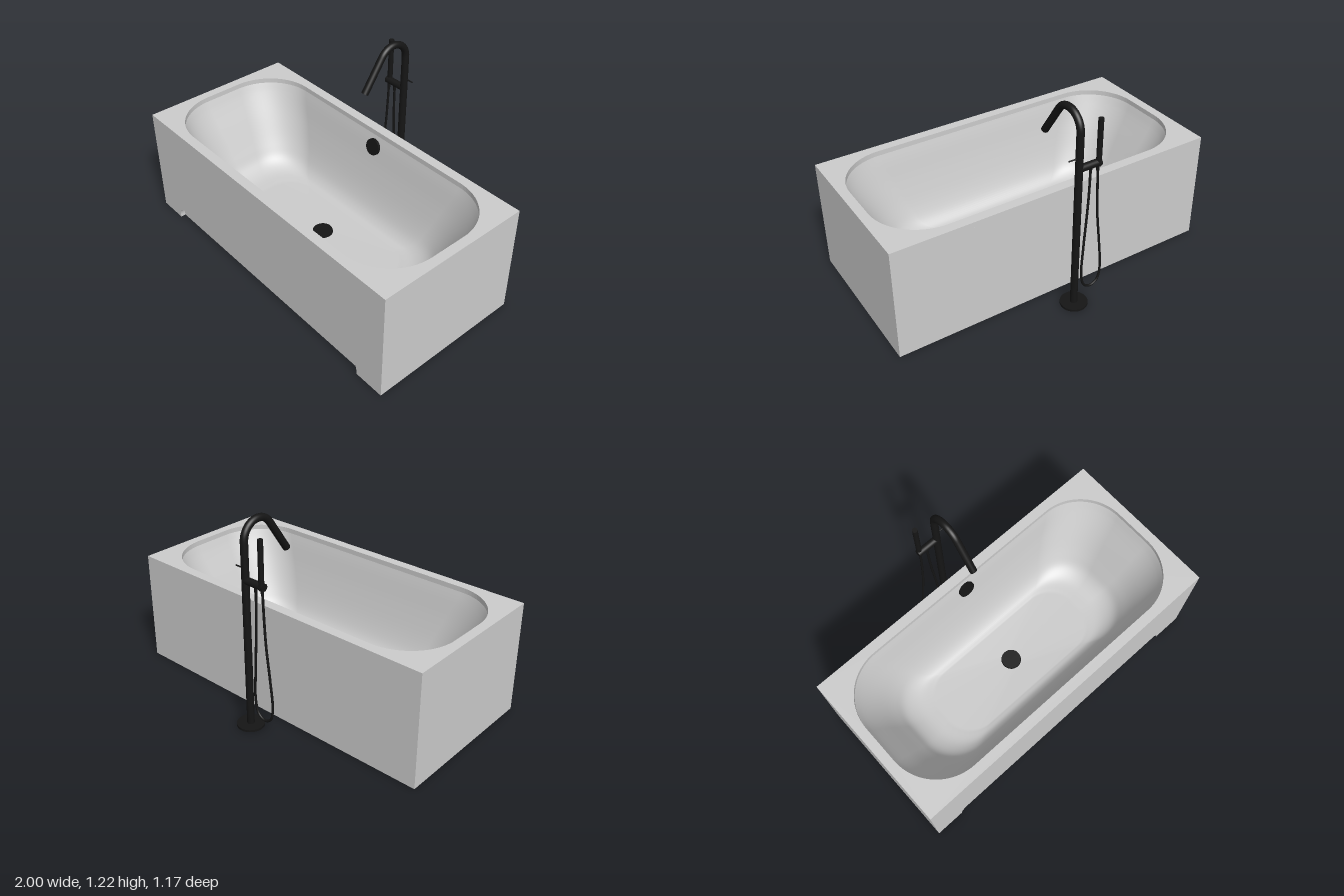
import * as THREE from 'three';

const grey = new THREE.MeshStandardMaterial({ color: 0xcccccc });
const shell = new THREE.MeshStandardMaterial({ color: 0xcccccc, side: THREE.DoubleSide });
const black = new THREE.MeshStandardMaterial({ color: 0x151515 });

const CZ = 0.1125, FZ = -0.508; // tub centre and tap column in z
const OPEN = { hx: 0.945, hz: 0.415, r: 0.3 };

function add(parent, name, geometry, material, x = 0, y = 0, z = 0) {
  const mesh = new THREE.Mesh(geometry, material);
  mesh.name = name;
  mesh.position.set(x, y, z);
  parent.add(mesh);
  return mesh;
}

// Rounded rectangle as a loop of points, the same count for every size
function outline(hx, hz, r, n = 20) {
  const pts = [];
  [[1, 1], [-1, 1], [-1, -1], [1, -1]].forEach(([sx, sz], q) => {
    for (let i = 0; i <= n; i++) {
      const a = (q + i / n) * Math.PI / 2;
      pts.push(new THREE.Vector2(sx * (hx - r) + r * Math.cos(a), sz * (hz - r) + r * Math.sin(a)));
    }
  });
  return pts;
}

// Basin skin: rounded loops that shrink from the rim down to the drain hole
function basinGeometry() {
  const profile = new THREE.CatmullRomCurve3([
    [0, 0, 0.645], [0.025, 0.014, 0.59], [0.1, 0.045, 0.45], [0.185, 0.09, 0.29],
    [0.235, 0.125, 0.21], [0.31, 0.165, 0.165], [0.42, 0.21, 0.148],
  ].map(p => new THREE.Vector3(...p)));
  const loops = profile.getPoints(30).map(p => ({
    y: p.z, pts: outline(OPEN.hx - p.x, OPEN.hz - p.y, OPEN.r - 0.6 * p.y),
  }));
  loops.push({ y: 0.14, pts: outline(0.045, 0.045, 0.045) });
  const pos = [], idx = [], n = loops[0].pts.length;
  loops.forEach(({ y, pts }, k) => {
    pts.forEach((p, i) => {
      pos.push(p.x, y, p.y);
      if (k === loops.length - 1) return;
      const a = k * n + i, b = k * n + (i + 1) % n;
      idx.push(a, a + n, b, b, a + n, b + n);
    });
  });
  const g = new THREE.BufferGeometry();
  g.setAttribute('position', new THREE.Float32BufferAttribute(pos, 3));
  g.setIndex(idx);
  g.computeVertexNormals();
  return g;
}

function rimGeometry() {
  const s = new THREE.Shape(outline(1, 0.4725, 0, 1));
  s.holes.push(new THREE.Path(outline(OPEN.hx, OPEN.hz, OPEN.r)));
  return new THREE.ExtrudeGeometry(s, { depth: 0.03, bevelEnabled: false }).rotateX(-Math.PI / 2);
}

// Front panel with a long rounded toe recess along the floor
function frontPanelGeometry() {
  const s = new THREE.Shape();
  s.moveTo(-1, 0);
  s.lineTo(-0.82, 0);
  s.lineTo(-0.82, 0.02);
  s.quadraticCurveTo(-0.815, 0.08, -0.75, 0.08);
  s.lineTo(0.75, 0.08);
  s.quadraticCurveTo(0.815, 0.08, 0.82, 0.02);
  s.lineTo(0.82, 0);
  s.lineTo(1, 0);
  s.lineTo(1, 0.645);
  s.lineTo(-1, 0.645);
  return new THREE.ExtrudeGeometry(s, { depth: 0.03, bevelEnabled: false });
}

function createTub() {
  const tub = new THREE.Group();
  tub.name = 'bathtub';
  add(tub, 'rim', rimGeometry(), grey, 0, 0.645, CZ);
  add(tub, 'basin', basinGeometry(), shell, 0, 0, CZ);
  add(tub, 'frontPanel', frontPanelGeometry(), grey, 0, 0, 0.555);

  // Hollow surround
  const t = 0.025, h = 0.645;
  for (const s of [-1, 1])
    add(tub, s > 0 ? 'leftPanel' : 'rightPanel', new THREE.BoxGeometry(t, h, 0.915), grey, s * (1 - t / 2), h / 2, 0.0975);
  add(tub, 'backPanel', new THREE.BoxGeometry(2 - 2 * t, h, t), grey, 0, h / 2, -0.36 + t / 2);
  add(tub, 'innerFrontPanel', new THREE.BoxGeometry(2 - 2 * t, h, t), grey, 0, h / 2, 0.555 - t / 2);

  // Drain and overflow
  add(tub, 'drainCap', new THREE.CylinderGeometry(0.058, 0.06, 0.012, 40), black, 0, 0.154, CZ);
  add(tub, 'drainCollar', new THREE.TorusGeometry(0.036, 0.01, 10, 32).rotateX(Math.PI / 2), grey, 0, 0.138, CZ);
  const overflow = add(tub, 'overflowCap', new THREE.CylinderGeometry(0.05, 0.05, 0.022, 40), black, 0, 0.575, -0.281);
  overflow.rotation.x = Math.PI / 2 - 0.22;
  return tub;
}

function createTap() {
  const tap = new THREE.Group();
  tap.name = 'floorTap';
  tap.position.z = FZ;
  add(tap, 'base', new THREE.CylinderGeometry(0.078, 0.078, 0.013, 48), black, 0, 0.0065, 0);
  const R = 0.021;

  // Column, bend and sloping spout
  const v = (y, z) => new THREE.Vector3(0, y, z);
  const bend = [];
  for (let i = 0; i <= 24; i++) {
    const a = Math.PI - (i / 24) * (Math.PI - 0.593);
    bend.push(v(1.095 + 0.1 * Math.sin(a), 0.1 + 0.1 * Math.cos(a)));
  }
  const path = new THREE.CurvePath();
  const stops = [v(0.01, 0), ...bend, v(0.97, 0.305)];
  for (let i = 1; i < stops.length; i++) path.add(new THREE.LineCurve3(stops[i - 1], stops[i]));
  add(tap, 'columnAndSpout', new THREE.TubeGeometry(path, 160, R, 24), black);
  const end = add(tap, 'spoutEnd', new THREE.CylinderGeometry(R, R, 0.006, 24), black, 0, 0.97, 0.305);
  end.rotation.x = Math.PI - 0.593;

  // Mixer arm, lever and hand shower
  const rod = (name, r, len, x, y) =>
    add(tap, name, new THREE.CylinderGeometry(r, r, len, 24).rotateZ(Math.PI / 2), black, x, y, 0);
  rod('mixerArm', R, 0.135, -0.0675, 0.885);
  rod('lever', 0.004, 0.065, 0.0325, 0.95);
  add(tap, 'handShower', new THREE.CylinderGeometry(0.015, 0.015, 0.275, 24), black, -0.12, 1.0075, -0.006);

  // Hose hanging in a loop
  const hose = new THREE.CatmullRomCurve3([
    [-0.12, 0.88], [-0.124, 0.75], [-0.135, 0.55], [-0.158, 0.35], [-0.172, 0.18], [-0.155, 0.1],
    [-0.11, 0.075], [-0.065, 0.1], [-0.045, 0.18], [-0.05, 0.35], [-0.066, 0.6], [-0.072, 0.75], [-0.073, 0.88],
  ].map(([x, y]) => new THREE.Vector3(x, y, 0)));
  add(tap, 'hose', new THREE.TubeGeometry(hose, 120, 0.007, 10), black);
  for (const x of [-0.12, -0.073])
    add(tap, 'hoseFitting', new THREE.CylinderGeometry(0.01, 0.008, 0.04, 16), black, x, 0.855, 0);
  return tap;
}

export function createModel() {
  const model = new THREE.Group();
  model.name = 'bathtubWithTap';
  model.add(createTub(), createTap());
  return model;
}
